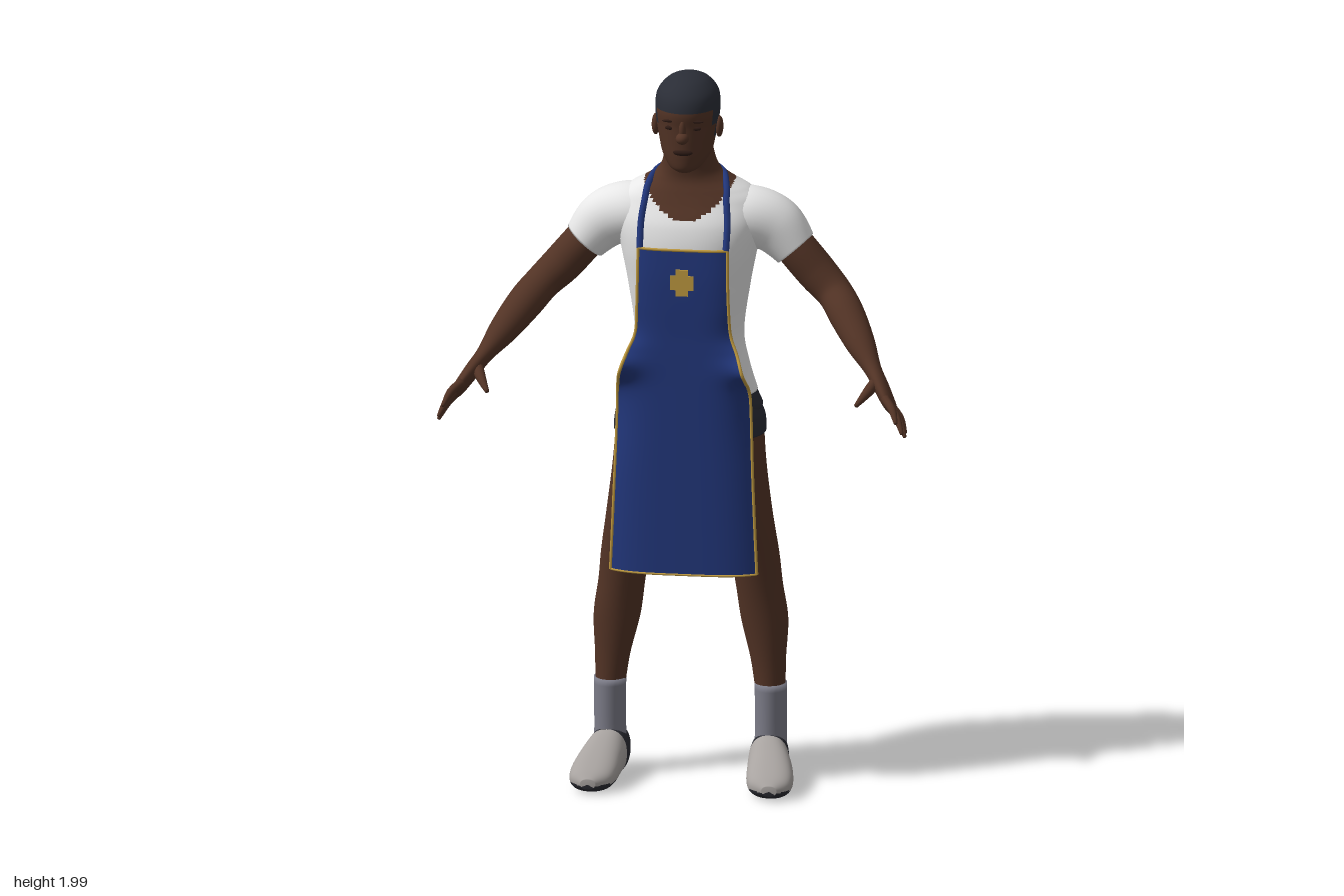
import * as THREE from 'three';

const V = (x, y, z) => new THREE.Vector3(x, y, z);
const mat = (name, color, side = THREE.FrontSide) => {
  const m = new THREE.MeshStandardMaterial({ color, side });
  m.name = name;
  return m;
};

// Smoothly interpolates rows of numbers, t from 0 to 1
function sample(rows, t) {
  const f = t * (rows.length - 1), i = Math.min(Math.floor(f), rows.length - 2), k = f - i;
  const row = (n) => rows[Math.max(0, Math.min(rows.length - 1, n))];
  const [a, b, c, d] = [row(i - 1), row(i), row(i + 1), row(i + 2)];
  return b.map((_, n) => b[n] + 0.5 * k * (c[n] - a[n] + k * (2 * a[n] - 5 * b[n] + 4 * c[n] - d[n]
    + k * (3 * (b[n] - c[n]) + d[n] - a[n]))));
}

// Closed skin over sections [x, y, z, radiusA, radiusB].
// axis 'y': level rings; axis 'z': upright rings; a vector: rings square to the path, radiusA along it
function loft(rows, { axis = 'y', steps = 30, sides = 28, power = 2, pick = null, fix = null } = {}) {
  const pos = [], lists = [[], [], []];
  const secs = Array.from({ length: steps + 1 }, (_, i) => sample(rows, i / steps));
  const at = (i) => V(...secs[Math.max(0, Math.min(steps, i))]);
  const bend = (c) => Math.sign(c) * Math.abs(c) ** (2 / power);
  secs.forEach((s, i) => {
    let u = V(1, 0, 0), v = axis === 'y' ? V(0, 0, -1) : V(0, 1, 0);
    if (axis.isVector3) {
      const t = at(i + 1).sub(at(i - 1)).normalize();
      u = axis.clone().addScaledVector(t, -axis.dot(t)).normalize();
      v = t.clone().cross(u);
    }
    for (let j = 0; j < sides; j++) {
      const a = (j / sides) * Math.PI * 2;
      const p = at(i).addScaledVector(u, bend(Math.cos(a)) * Math.max(s[3], 0.0005))
        .addScaledVector(v, bend(Math.sin(a)) * Math.max(s[4], 0.0005));
      if (fix) fix(p);
      pos.push(p.x, p.y, p.z);
    }
  });
  pos.push(...at(0).toArray(), ...at(steps).toArray());
  const P = (i) => V(pos[i * 3], pos[i * 3 + 1], pos[i * 3 + 2]);
  const face = (a, b, c, d) => {
    const mid = P(a).add(P(c)).multiplyScalar(0.5);
    const list = lists[pick ? pick(mid) : 0];
    list.push(a, b, c);
    if (d !== undefined) list.push(a, c, d);
  };
  const n = sides, last = (steps + 1) * n;
  for (let j = 0; j < n; j++) {
    const k = (j + 1) % n;
    for (let i = 0; i < steps; i++) face(i * n + j, i * n + k, (i + 1) * n + k, (i + 1) * n + j);
    face(last, k, j);
    face(last + 1, steps * n + j, steps * n + k);
  }
  const g = new THREE.BufferGeometry();
  g.setAttribute('position', new THREE.Float32BufferAttribute(pos, 3));
  g.setIndex(lists.flat());
  let start = 0;
  if (pick) lists.forEach((l, m) => { if (l.length) g.addGroup(start, l.length, m); start += l.length; });
  g.computeVertexNormals();
  return g;
}

export function createModel() {
  const model = new THREE.Group();
  const skin = mat('skin', 0x523325), hair = mat('hair', 0x2a2d36), shirt = mat('shirtWhite', 0xe8e8e8);
  const shorts = mat('shortsCharcoal', 0x292b35), blue = mat('apronBlue', 0x22377c, THREE.DoubleSide);
  const gold = mat('trimGold', 0xc09a40), sock = mat('sockGrey', 0x7c7c88);
  const shoe = mat('shoeGrey', 0xa8a3a0), sole = mat('soleDark', 0x2a2b32), dark = mat('featureDark', 0x2e1b15);
  const add = (name, geo, material) => {
    const m = new THREE.Mesh(geo, material);
    m.name = name;
    model.add(m);
    return m;
  };
  const blob = (name, material, p, r) => {
    const m = add(name, new THREE.SphereGeometry(1, 20, 14), material);
    m.position.set(...p);
    m.scale.set(...r);
  };

  // Shirt body running up into the neck, with a scooped neckline
  const neckline = (p) => (p.y > (p.z > -0.145 ? 1.6 + 6 * p.x * p.x : 1.655 + 2.6 * p.x * p.x) ? 1 : 0);
  add('shirtAndNeck', loft([
    [0, 1.1, -0.147, 0.184, 0.121], [0, 1.18, -0.14, 0.162, 0.11], [0, 1.27, -0.133, 0.149, 0.1],
    [0, 1.4, -0.132, 0.166, 0.118], [0, 1.5, -0.132, 0.185, 0.127], [0, 1.58, -0.138, 0.2, 0.12],
    [0, 1.64, -0.15, 0.195, 0.1], [0, 1.67, -0.155, 0.165, 0.09], [0, 1.7, -0.153, 0.112, 0.076],
    [0, 1.73, -0.142, 0.08, 0.066], [0, 1.78, -0.127, 0.066, 0.062], [0, 1.84, -0.11, 0.06, 0.06],
  ], { steps: 132, sides: 96, power: 2.2, pick: neckline }), [shirt, skin]);

  // Head with short hair painted above the hairline
  const hairline = (p) => {
    const edge = p.z > -0.045 ? 1.915 : p.z > -0.075 ? 1.87 : p.z > -0.11 ? 1.83 : 1.775;
    return p.y > edge ? 1 : 0;
  };
  add('head', loft([
    [0, 1.742, -0.035, 0.02, 0.02], [0, 1.755, -0.055, 0.044, 0.052], [0, 1.785, -0.088, 0.066, 0.09],
    [0, 1.825, -0.096, 0.076, 0.1], [0, 1.87, -0.1, 0.084, 0.106], [0, 1.91, -0.102, 0.088, 0.112],
    [0, 1.95, -0.106, 0.083, 0.104], [0, 1.98, -0.109, 0.06, 0.076], [0, 1.995, -0.11, 0.032, 0.04],
    [0, 2, -0.11, 0.001, 0.001],
  ], { steps: 90, sides: 72, pick: hairline }), [skin, hair]);
  blob('nose', skin, [0, 1.845, 0.008], [0.018, 0.016, 0.021]);
  blob('noseBridge', skin, [0, 1.868, 0.003], [0.01, 0.03, 0.012]);
  blob('lips', dark, [0, 1.803, -0.001], [0.027, 0.009, 0.009]);

  // Apron: a sheet that narrows at the waist; rows are [y, half width, middle z, edge z]
  const apronRows = [[1.53, 0.122, 0.012, 0], [1.45, 0.123, 0.016, 0.004], [1.37, 0.125, 0.016, 0.002],
    [1.29, 0.13, 0.014, -0.005], [1.24, 0.15, 0.014, 0.012], [1.19, 0.168, 0.014, 0.04],
    [1.13, 0.18, 0.014, -0.015], [1.05, 0.183, 0.014, -0.028], [0.9, 0.188, 0.014, -0.02],
    [0.75, 0.194, 0.014, -0.018], [0.615, 0.2, 0.014, -0.018]];
  const apronPoint = (u, t) => {
    const [y, w, mid, edge] = sample(apronRows, t);
    return V(u * w, y, mid + (edge - mid) * u ** 4);
  };
  const apron = new THREE.PlaneGeometry(1, 1, 24, 60);
  const ap = apron.attributes.position;
  for (let i = 0; i < ap.count; i++) {
    const p = apronPoint(ap.getX(i) * 2, 0.5 - ap.getY(i));
    ap.setXYZ(i, p.x, p.y, p.z);
  }
  apron.computeVertexNormals();
  add('apron', apron, blue);
  const tube = (pts, r, n = 60) => new THREE.TubeGeometry(new THREE.CatmullRomCurve3(pts), n, r, 6);
  const line = (f) => Array.from({ length: 25 }, (_, i) => f(i / 24));
  add('apronTopTrim', tube(line((t) => apronPoint(t * 2 - 1, 0)), 0.004), gold);
  add('apronBottomTrim', tube(line((t) => apronPoint(t * 2 - 1, 1)), 0.003), gold);

  // Small cross-shaped patch on the bib
  for (const [w, h] of [[0.064, 0.04], [0.034, 0.074]]) {
    add('bibPatch', new THREE.BoxGeometry(w, h, 0.005), gold).position.set(0, 1.44, 0.0175);
  }

  // Strap around the neck
  const strap = [[0.118, 1.53, 0], [0.118, 1.6, -0.03], [0.112, 1.65, -0.055], [0.106, 1.69, -0.095], [0.082, 1.716, -0.165]];
  add('neckStrap', tube([...strap.map((p) => V(...p)), V(0, 1.725, -0.212),
    ...strap.slice().reverse().map(([x, y, z]) => V(-x, y, z))], 0.009, 90), blue);

  // Pelvis of the shorts
  add('shortsPelvis', loft([[0, 1.02, -0.15, 0.15, 0.1], [0, 1.05, -0.15, 0.196, 0.118],
    [0, 1.085, -0.148, 0.188, 0.119], [0, 1.12, -0.146, 0.172, 0.11]], { sides: 48, power: 2.2 }), shorts);

  for (const s of [1, -1]) {
    const side = s > 0 ? 'left' : 'right';
    const flip = (rows) => rows.map(([x, ...rest]) => [x * s, ...rest]);
    const spread = V(-0.16 * s, 0.55, 0.82);

    add(side + 'ApronTrim', tube(line((t) => apronPoint(s, t)), 0.0045), gold);

    // Face details
    blob(side + 'Ear', skin, [0.087 * s, 1.855, -0.095], [0.011, 0.03, 0.019]);
    blob(side + 'Eye', dark, [0.034 * s, 1.871, -0.006], [0.016, 0.006, 0.006]);
    blob(side + 'Brow', dark, [0.035 * s, 1.891, -0.003], [0.022, 0.004, 0.006]);

    // Sleeve
    add(side + 'Sleeve', loft(flip([[0.08, 1.585, -0.15, 0.085, 0.075], [0.16, 1.59, -0.155, 0.088, 0.082],
      [0.232, 1.562, -0.157, 0.077, 0.08], [0.288, 1.502, -0.152, 0.062, 0.062]]), { axis: V(0, 0, 1) }), shirt);

    // Arm and palm
    add(side + 'Arm', loft(flip([[0.25, 1.55, -0.155, 0.054, 0.054], [0.3, 1.492, -0.15, 0.055, 0.055],
      [0.35, 1.435, -0.145, 0.054, 0.054], [0.4, 1.387, -0.122, 0.049, 0.049], [0.44, 1.345, -0.065, 0.049, 0.049],
      [0.488, 1.288, 0.01, 0.04, 0.04], [0.53, 1.237, 0.075, 0.029, 0.024], [0.56, 1.2, 0.12, 0.039, 0.021],
      [0.588, 1.165, 0.165, 0.043, 0.017], [0.6, 1.15, 0.183, 0.034, 0.009]]), { axis: spread, steps: 54 }), skin);

    // Fingers and thumb
    const tips = [[0.62, 1.14, 0.265], [0.634, 1.105, 0.245], [0.638, 1.088, 0.215], [0.635, 1.09, 0.182]];
    tips.forEach((tip, i) => {
      const k = 0.033 - 0.022 * i, [x, y, z] = [0.585 - 0.16 * k, 1.168 + 0.55 * k, 0.16 + 0.82 * k];
      add(side + 'Finger' + (i + 1), loft(flip([[x, y, z, 0.012, 0.012],
        [(x + tip[0]) / 2 + 0.005, (y + tip[1]) / 2 + 0.004, (z + tip[2]) / 2, 0.011, 0.011],
        [...tip, 0.005, 0.005]]), { axis: spread, steps: 8, sides: 10 }), skin);
    });
    add(side + 'Thumb', loft(flip([[0.548, 1.215, 0.11, 0.016, 0.016], [0.53, 1.197, 0.165, 0.014, 0.014],
      [0.505, 1.172, 0.218, 0.006, 0.006]]), { axis: V(s, 0, 0), steps: 10, sides: 12 }), skin);

    // Leg, short leg and sock
    add(side + 'Leg', loft(flip([[0.22, 0.24, -0.151, 0.04, 0.046], [0.213, 0.34, -0.154, 0.048, 0.049],
      [0.202, 0.45, -0.162, 0.064, 0.063], [0.188, 0.55, -0.156, 0.064, 0.067], [0.176, 0.64, -0.148, 0.067, 0.073],
      [0.15, 0.76, -0.135, 0.076, 0.086], [0.118, 0.9, -0.136, 0.091, 0.101], [0.104, 1.03, -0.145, 0.096, 0.11]]),
    { steps: 44 }), skin);
    add(side + 'ShortLeg', loft(flip([[0.106, 0.985, -0.145, 0.102, 0.115], [0.103, 1.03, -0.149, 0.101, 0.12],
      [0.092, 1.08, -0.148, 0.09, 0.112]]), { steps: 14 }), shorts);
    add(side + 'Sock', loft(flip([[0.219, 0.09, -0.155, 0.045, 0.052], [0.22, 0.15, -0.153, 0.043, 0.05],
      [0.22, 0.275, -0.151, 0.044, 0.051]]), { steps: 10 }), sock);

    // Shoe with pale toe, dark heel and sole
    add(side + 'Shoe', loft(flip([[0.214, 0.062, -0.225, 0.018, 0.025], [0.214, 0.066, -0.21, 0.04, 0.053],
      [0.217, 0.068, -0.16, 0.051, 0.066], [0.222, 0.07, -0.1, 0.055, 0.066], [0.233, 0.058, -0.04, 0.062, 0.053],
      [0.241, 0.045, 0.02, 0.064, 0.041], [0.245, 0.037, 0.06, 0.053, 0.03], [0.248, 0.034, 0.088, 0.02, 0.014]]),
    { axis: 'z', steps: 64, sides: 48, power: 2.3, pick: (p) => (p.y < 0.03 || p.z < -0.1 ? 1 : 0),
      fix: (p) => { p.y = Math.max(p.y, 0.006); } }), [shoe, sole]);
  }
  return model;
}
